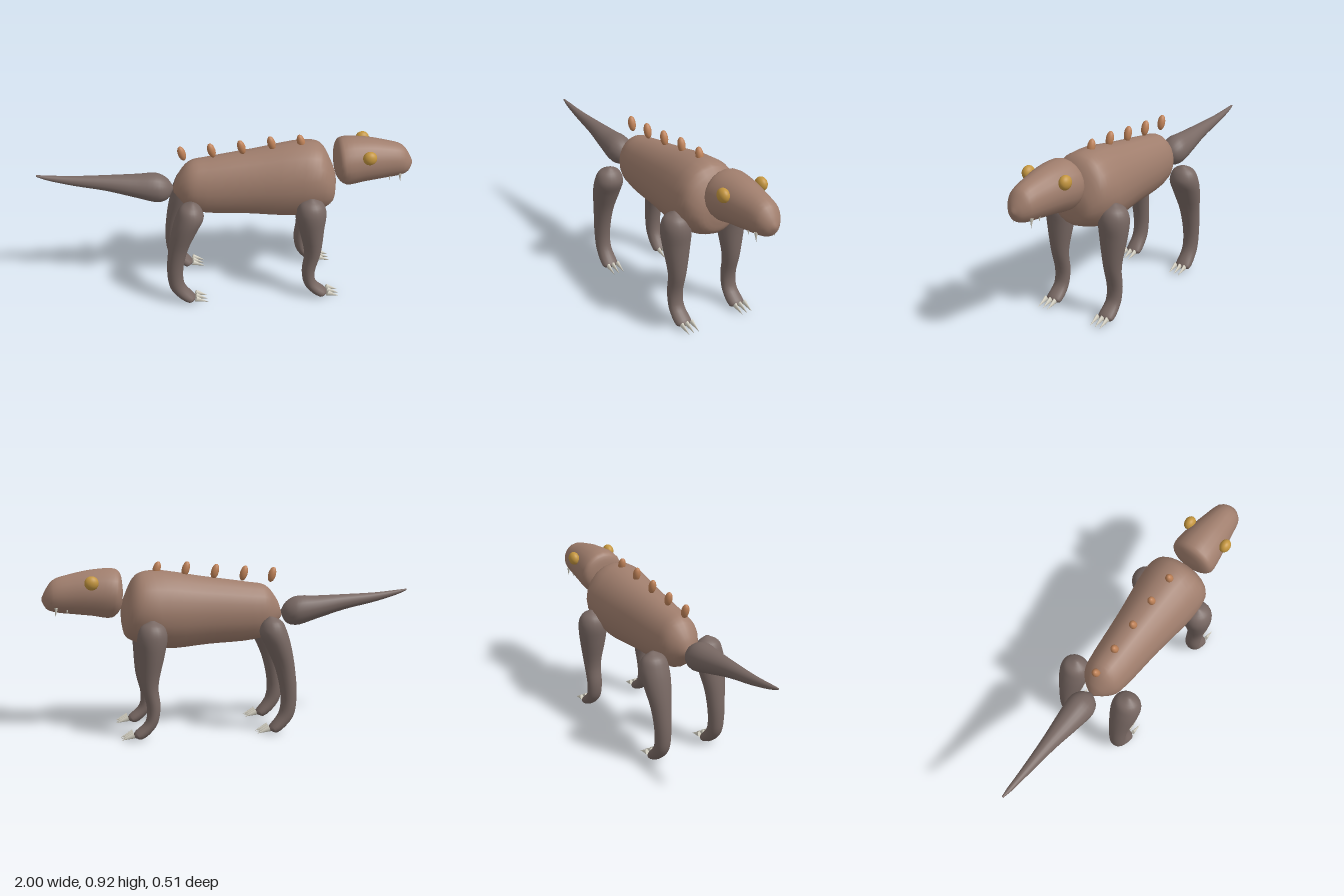
import * as THREE from 'three';

const mat = (name, color, side = THREE.FrontSide) => {
  const m = new THREE.MeshStandardMaterial({ color, side });
  m.name = name;
  return m;
};

// Smooth skin over oval rings: [xA, yA, xB, yB, halfDepth], A and B being opposite rim points
function loft(rings, segs = 20, sub = 4) {
  const spline = f => new THREE.CatmullRomCurve3(rings.map(f));
  const curveA = spline(r => new THREE.Vector3(r[0], r[1], 0));
  const curveB = spline(r => new THREE.Vector3(r[2], r[3], 0));
  const depth = spline((r, i) => new THREE.Vector3(i, r[4], 0));
  const n = (rings.length - 1) * sub;
  const pos = [], idx = [], mids = [];
  for (let i = 0; i <= n; i++) {
    const a = curveA.getPoint(i / n), b = curveB.getPoint(i / n);
    const hz = Math.max(0.002, depth.getPoint(i / n).y);
    const mid = a.clone().add(b).multiplyScalar(0.5);
    const arm = a.clone().sub(mid);
    mids.push(mid);
    for (let j = 0; j < segs; j++) {
      const t = (j / segs) * Math.PI * 2, c = Math.cos(t);
      pos.push(mid.x + arm.x * c, mid.y + arm.y * c, hz * Math.sin(t));
    }
  }
  for (let i = 0; i < n; i++) {
    for (let j = 0; j < segs; j++) {
      const k = (j + 1) % segs;
      const a = i * segs + j, b = i * segs + k, c = a + segs, d = b + segs;
      idx.push(a, b, c, b, d, c);
    }
  }
  // Close both ends with a fan
  const first = pos.length / 3, last = first + 1;
  pos.push(mids[0].x, mids[0].y, 0, mids[n].x, mids[n].y, 0);
  for (let j = 0; j < segs; j++) {
    const k = (j + 1) % segs;
    idx.push(first, k, j, last, n * segs + j, n * segs + k);
  }
  const g = new THREE.BufferGeometry();
  g.setAttribute('position', new THREE.Float32BufferAttribute(pos, 3));
  g.setIndex(idx);
  g.computeVertexNormals();
  return g;
}

export function createModel() {
  const hide = mat('brown hide', 0xa07e6d);
  const limb = mat('grey brown limb', 0x786863);
  const spine = mat('copper spine', 0xbf8258);
  const amber = mat('amber eye', 0xc4963f);
  const ivory = mat('ivory', 0xd6d2c4);

  const model = new THREE.Group();
  model.name = 'creature';
  const add = (name, geo, material, x = 0, y = 0, z = 0, parent = model) => {
    const mesh = new THREE.Mesh(geo, material);
    mesh.name = name;
    mesh.position.set(x, y, z);
    parent.add(mesh);
    return mesh;
  };

  // Torso, rump to chest
  add('body', loft([
    [-0.283, 0.64, -0.283, 0.61, 0.015],
    [-0.26, 0.705, -0.25, 0.57, 0.06],
    [-0.195, 0.785, -0.2, 0.51, 0.105],
    [-0.09, 0.807, -0.12, 0.487, 0.122],
    [0.15, 0.843, 0.12, 0.472, 0.145],
    [0.42, 0.882, 0.36, 0.457, 0.178],
    [0.505, 0.86, 0.505, 0.493, 0.17],
    [0.567, 0.75, 0.568, 0.53, 0.115],
    [0.587, 0.69, 0.587, 0.6, 0.04],
  ]), hide);

  // Head, nape to snout
  add('head', loft([
    [0.577, 0.79, 0.577, 0.75, 0.02],
    [0.59, 0.87, 0.592, 0.68, 0.1],
    [0.615, 0.893, 0.638, 0.634, 0.127],
    [0.73, 0.893, 0.74, 0.646, 0.115],
    [0.84, 0.873, 0.84, 0.658, 0.095],
    [0.94, 0.842, 0.938, 0.672, 0.074],
    [0.978, 0.795, 0.978, 0.69, 0.045],
    [1.0, 0.75, 1.0, 0.73, 0.01],
  ]), hide);

  // Tail, tip to root
  add('tail', loft([
    [-1.0, 0.744, -1.0, 0.735, 0.005],
    [-0.95, 0.739, -0.95, 0.714, 0.013],
    [-0.82, 0.728, -0.82, 0.677, 0.024],
    [-0.635, 0.723, -0.635, 0.637, 0.042],
    [-0.475, 0.72, -0.475, 0.59, 0.065],
    [-0.37, 0.72, -0.365, 0.56, 0.076],
    [-0.315, 0.69, -0.315, 0.575, 0.055],
    [-0.284, 0.645, -0.284, 0.625, 0.012],
  ]), limb);

  // Legs, shoulder to toe, with claws
  const rearLeg = loft([
    [-0.18, 0.64, -0.2, 0.64, 0.012],
    [-0.145, 0.605, -0.25, 0.615, 0.06],
    [-0.13, 0.555, -0.277, 0.56, 0.08],
    [-0.163, 0.48, -0.3, 0.48, 0.077],
    [-0.218, 0.35, -0.323, 0.35, 0.056],
    [-0.247, 0.2, -0.333, 0.2, 0.045],
    [-0.237, 0.115, -0.313, 0.088, 0.043],
    [-0.192, 0.05, -0.225, 0.006, 0.045],
    [-0.182, 0.036, -0.19, 0.016, 0.025],
  ]);
  const frontLeg = loft([
    [0.45, 0.638, 0.43, 0.638, 0.012],
    [0.5, 0.607, 0.38, 0.607, 0.06],
    [0.52, 0.555, 0.362, 0.555, 0.08],
    [0.514, 0.46, 0.377, 0.46, 0.075],
    [0.502, 0.29, 0.413, 0.29, 0.049],
    [0.475, 0.17, 0.404, 0.17, 0.044],
    [0.485, 0.1, 0.427, 0.075, 0.043],
    [0.537, 0.05, 0.505, 0.006, 0.045],
    [0.547, 0.036, 0.54, 0.016, 0.025],
  ]);
  const claw = new THREE.ConeGeometry(0.017, 0.073, 10);
  const eyeGeo = new THREE.SphereGeometry(0.037, 24, 16);
  const tooth = (r, h) => new THREE.ConeGeometry(r, h, 10);
  const bigTooth = tooth(0.009, 0.05), smallTooth = tooth(0.007, 0.036);

  for (const [side, s] of [['left', 1], ['right', -1]]) {
    for (const [name, geo, clawX] of [['rearLeg', rearLeg, -0.146], ['frontLeg', frontLeg, 0.582]]) {
      const leg = new THREE.Group();
      leg.name = `${name} ${s > 0 ? 'near' : 'far'}`;
      leg.position.z = s * 0.172;
      model.add(leg);
      add('limb', geo, limb, 0, 0, 0, leg);
      for (const dz of [-0.03, 0, 0.03]) {
        const c = add('claw', claw, ivory, clawX, 0.024, dz, leg);
        c.rotation.z = -Math.PI / 2 - 0.35;
        c.scale.z = 0.6;
      }
    }
    // Eyes and fangs on each flank of the head
    add(`${side} eye`, eyeGeo, amber, 0.745, 0.834, s * 0.114).scale.z = 0.78;
    add('fang', bigTooth, ivory, 0.93, 0.677, s * 0.056).rotation.z = Math.PI + 0.12;
    add('smallFang', smallTooth, ivory, 0.872, 0.681, s * 0.056).rotation.z = Math.PI + 0.05;
  }

  // Row of back spines leaning towards the tail
  const spineGeo = new THREE.SphereGeometry(0.021, 16, 12);
  [[-0.233, 0.842], [-0.077, 0.853], [0.081, 0.866], [0.239, 0.883], [0.395, 0.886]].forEach(([x, y]) => {
    const p = add('backSpine', spineGeo, spine, x, y);
    p.scale.y = 2;
    p.rotation.z = 0.28;
  });

  return model;
}
